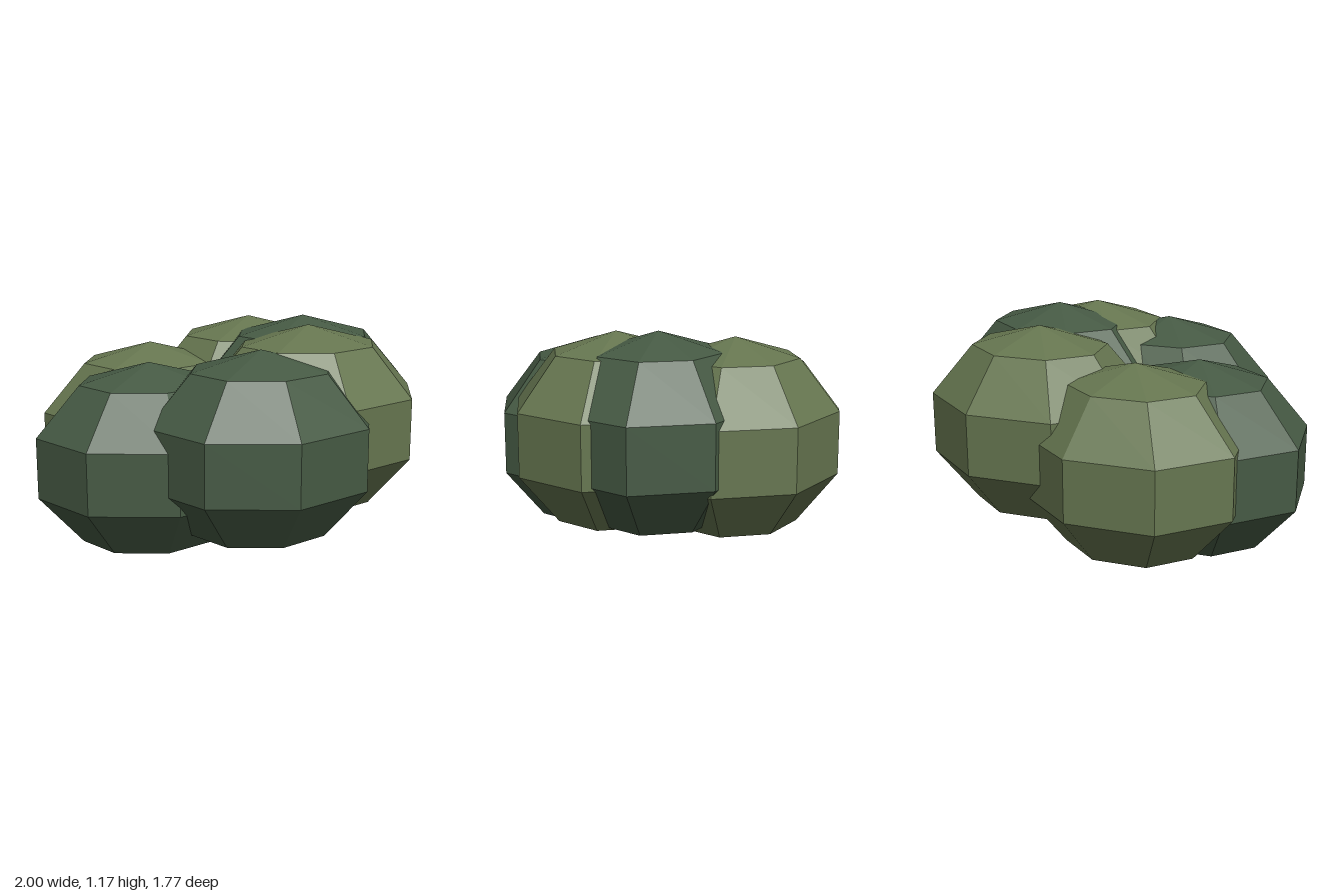
import * as THREE from 'three';

export function createModel() {
  const bush = new THREE.Group();
  bush.name = 'bush';

  const darkLeaf = new THREE.MeshStandardMaterial({ name: 'dark leaf green', color: 0x465a44, flatShading: true });
  const lightLeaf = new THREE.MeshStandardMaterial({ name: 'light leaf green', color: 0x667650, flatShading: true });

  // One squashed low-poly ball shared by every leaf clump
  const clump = new THREE.SphereGeometry(1, 8, 5);
  clump.scale(0.602, 0.493, 0.531);

  // Clumps in a ring around the middle, at uneven heights
  const clumps = [
    ['frontClump', darkLeaf, 0.03, 0.59, 0.378],
    ['frontLeftClump', lightLeaf, 0.36, 0.665, 0.18],
    ['leftClump', darkLeaf, 0.427, 0.68, -0.045],
    ['backLeftClump', lightLeaf, 0.25, 0.64, -0.38],
    ['backRightClump', lightLeaf, -0.318, 0.535, -0.333],
    ['rightClump', darkLeaf, -0.427, 0.497, 0.03],
  ];
  for (const [name, material, x, y, z] of clumps) {
    const mesh = new THREE.Mesh(clump, material);
    mesh.name = name;
    mesh.position.set(x, y, z);
    bush.add(mesh);
  }
  return bush;
}
